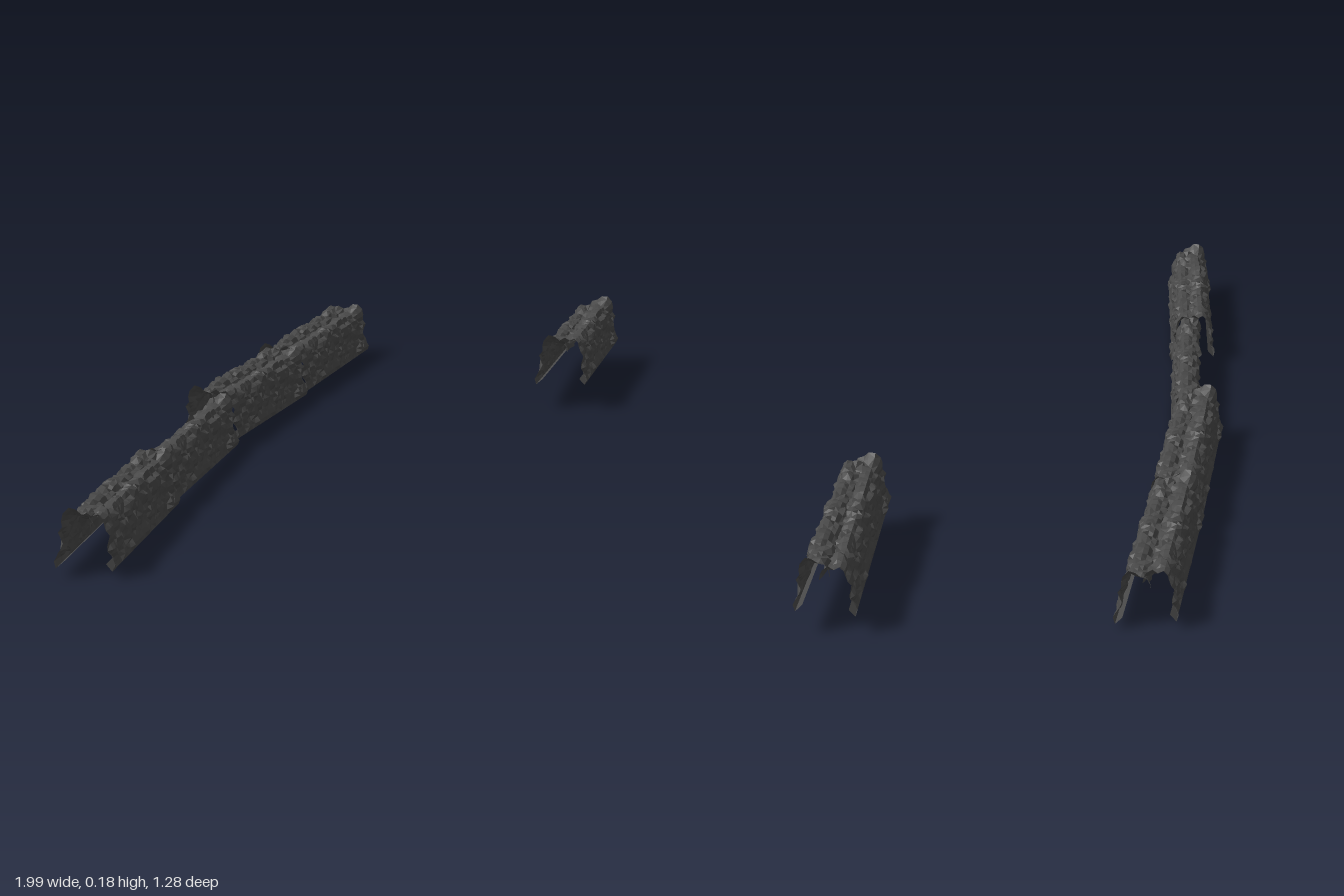
import * as THREE from 'three';

const LENGTH = 0.47, COLS = 44, ROWS = 16;
const STONES_LONG = 12, STONES_HIGH = 5;

// Seeded random numbers
function makeRandom(seed) {
  return () => {
    seed = (seed * 1664525 + 1013904223) % 4294967296;
    return seed / 4294967296;
  };
}

// Open rock face: local x runs along it, z points out, foot at z = 0
function rockFaceGeometry() {
  const random = makeRandom(11);
  const profile = new THREE.Path([
    [0, 0], [-0.008, 0.03], [-0.012, 0.065], [-0.017, 0.088], [-0.028, 0.1],
    [-0.046, 0.099], [-0.06, 0.09], [-0.064, 0.075],
  ].map(([z, y]) => new THREE.Vector2(z, y)));
  const points = profile.getSpacedPoints(ROWS);
  const arc = profile.getLength();

  // Scattered stones, each with its own height and tilt
  const stones = [];
  for (let a = 0; a < STONES_LONG; a++) {
    for (let b = 0; b < STONES_HIGH; b++) {
      stones.push({
        u: (a + random()) / STONES_LONG * LENGTH,
        v: (b + random()) / STONES_HIGH * arc,
        h: random() * 0.006, tu: (random() - 0.5) * 0.5, tv: (random() - 0.5) * 0.5,
      });
    }
  }
  function relief(u, v) {
    let d1 = 9, d2 = 9, near = stones[0];
    for (const s of stones) {
      const d = Math.hypot((s.u - u) * 0.9, s.v - v);
      if (d < d1) { d2 = d1; d1 = d; near = s; } else if (d < d2) d2 = d;
    }
    const groove = Math.min(1, (d2 - d1) / 0.012);
    return -0.003 + groove * (0.005 + near.h + (u - near.u) * near.tu + (v - near.v) * near.tv);
  }

  const position = [], index = [];
  // Row -1 is the narrow hem turned in under the foot
  for (let j = -1; j <= ROWS; j++) {
    for (let i = 0; i <= COLS; i++) {
      const side = i === 0 ? -1 : i === COLS ? 1 : 0;
      const u = (i + (side ? 0 : (random() - 0.5) * 0.6)) / COLS * LENGTH;
      if (j < 0) {
        position.push(u, 0.012, -0.014);
        continue;
      }
      const p = points[j];
      const q0 = points[Math.max(0, j - 1)], q1 = points[Math.min(ROWS, j + 1)];
      const t = q1.clone().sub(q0).normalize();
      const bump = j === 0 ? 0 : relief(u, j / ROWS * arc);
      // Ends flick up at the crest and break unevenly; the foot reaches furthest
      const flick = side ? 0.006 * Math.max(0, p.y - 0.07) / 0.03 : 0;
      const chip = j === 0 ? 0.006 : (random() - 0.35) * 0.008;
      position.push(u + chip * side, p.y - t.x * bump + flick, p.x + t.y * bump);
    }
  }
  const w = COLS + 1;
  for (let j = 0; j <= ROWS; j++) {
    for (let i = 0; i < COLS; i++) {
      const a = j * w + i, b = a + 1, c = a + w, d = c + 1;
      if ((i + j) % 2) index.push(a, b, d, a, d, c);
      else index.push(a, b, c, b, d, c);
    }
  }
  const geometry = new THREE.BufferGeometry();
  geometry.setAttribute('position', new THREE.Float32BufferAttribute(position, 3));
  geometry.setIndex(index);
  geometry.computeVertexNormals();
  return geometry;
}

export function createModel() {
  const model = new THREE.Group();
  const geometry = rockFaceGeometry();
  const material = new THREE.MeshStandardMaterial({
    color: 0x484848, flatShading: true, side: THREE.DoubleSide,
  });

  // Lays a rock face with its foot running from one [x, y, z] point to another
  function addFace(name, from, to) {
    const a = new THREE.Vector3(...from);
    const d = new THREE.Vector3(...to).sub(a);
    const run = Math.hypot(d.x, d.z);
    const face = new THREE.Mesh(geometry, material);
    face.name = name;
    face.position.copy(a);
    face.rotation.set(0, Math.atan2(-d.z, d.x), Math.atan2(d.y, run), 'YXZ');
    face.scale.x = d.length() / LENGTH;
    model.add(face);
  }

  // Front faces of the long wall
  addFace('frontRockFace1', [-0.91, 0.015, 0.635], [-0.57, 0.004, 0.31]);
  addFace('frontRockFace2', [-0.575, 0.012, 0.31], [-0.22, 0.0, -0.01]);
  addFace('frontRockFace3', [-0.22, 0.014, -0.01], [0.15, 0.004, -0.28]);
  addFace('frontRockFace4', [0.15, 0.012, -0.28], [0.525, 0.012, -0.55]);

  // Back faces, turned the other way; the second stretch has none
  addFace('backRockFace1', [-0.65, 0.012, 0.24], [-0.995, 0.02, 0.57]);
  addFace('backRockFace3', [0.06, 0.012, -0.365], [-0.31, 0.018, -0.09]);
  addFace('backRockFace4', [0.44, 0.018, -0.64], [0.06, 0.012, -0.365]);

  // Separate short wall
  addFace('shortWallFront', [0.63, 0.06, 0.19], [0.99, 0.055, -0.11]);
  addFace('shortWallBack', [0.905, 0.042, -0.195], [0.54, 0.06, 0.12]);

  return model;
}
